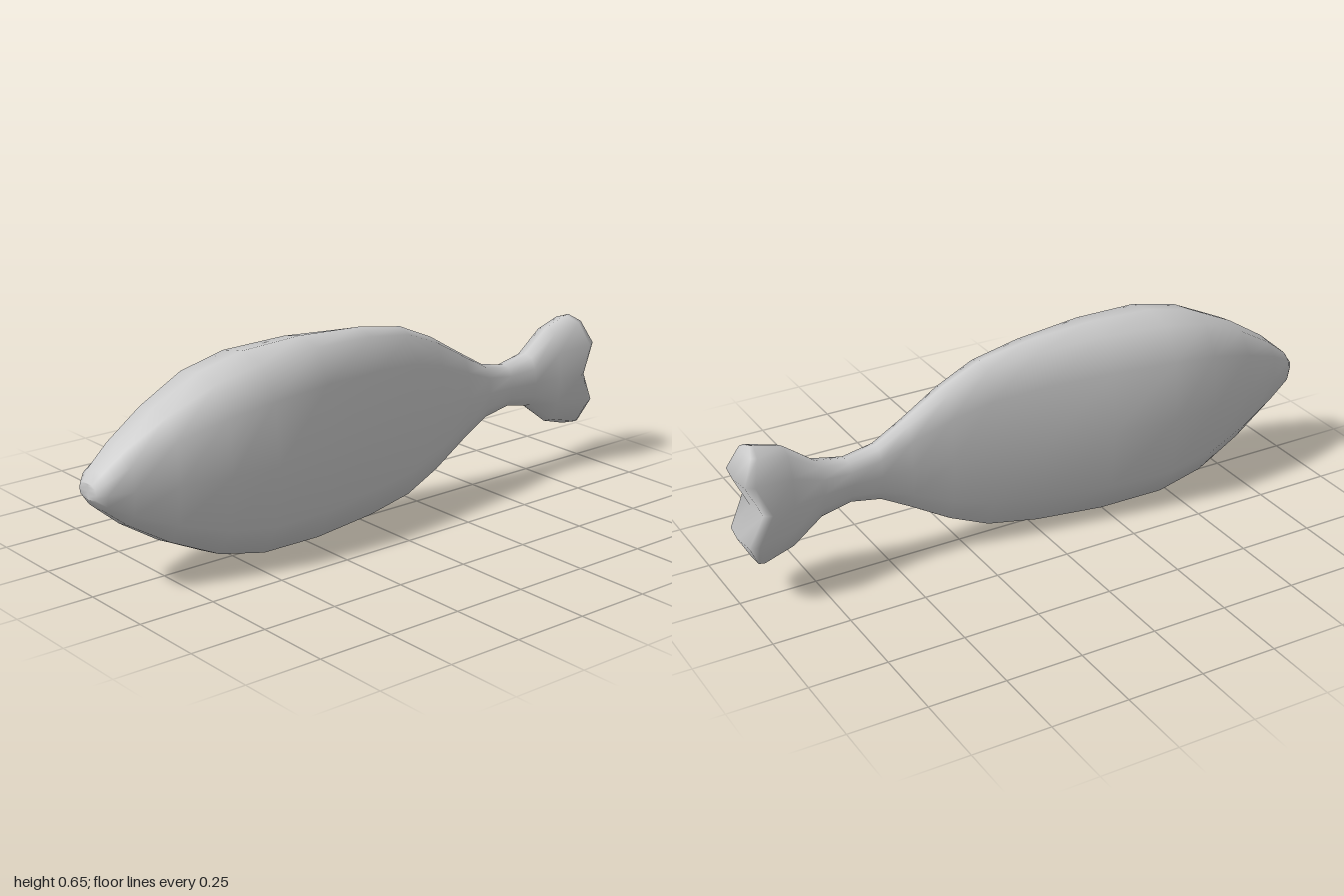
import * as THREE from 'three';
import { mergeVertices } from 'three/addons/utils/BufferGeometryUtils.js';

const MID_Y = 0.328;

// Quarter cross-sections from the ridge to the flank, as [z, y] fractions
const BODY_SECTION = [[0, 1], [0.54, 0.94], [0.9, 0.62], [1, 0]];
const TAIL_SECTION = [[0, 1], [0.56, 0.91], [0.89, 0.52], [1, 0]];

// Stations from nose to tail: [x, half height, half width]
const STATIONS = [
  [-1.0, 0.025, 0], [-1.0, 0.025, 0.045], [-0.975, 0.058, 0.07], [-0.9, 0.122, 0.092],
  [-0.77, 0.205, 0.13], [-0.61, 0.281, 0.168], [-0.45, 0.317, 0.182], [-0.23, 0.326, 0.155],
  [0.0, 0.313, 0.116], [0.17, 0.285, 0.09], [0.3, 0.228, 0.07], [0.43, 0.15, 0.051],
  [0.53, 0.092, 0.045], [0.63, 0.072, 0.046], [0.73, 0.092, 0.057], [0.83, 0.168, 0.073],
  // Forked fin end: x is given per row, ridge to flank
  [[0.92, 0.93, 0.955, 0.91], 0.194, 0.095],
  [[0.932, 0.948, 0.983, 0.935], 0.196, 0.08],
  [[0.932, 0.95, 0.992, 0.944], 0.196, 0],
];

// Full ring of 12 points, running from the top towards +z
function ring([x, halfHeight, halfWidth]) {
  const blend = THREE.MathUtils.smoothstep(Array.isArray(x) ? 1 : x, 0.3, 0.8);
  const points = [];
  for (let j = 0; j < 12; j++) {
    const row = j % 6 <= 3 ? j % 6 : 6 - (j % 6);
    const k = j < 6 ? row : (j - 6 <= 3 ? j - 6 : 12 - j);
    const sideY = j > 3 && j < 9 ? -1 : 1;
    const sideZ = j > 6 ? -1 : 1;
    const z = THREE.MathUtils.lerp(BODY_SECTION[k][0], TAIL_SECTION[k][0], blend);
    const y = THREE.MathUtils.lerp(BODY_SECTION[k][1], TAIL_SECTION[k][1], blend);
    points.push([Array.isArray(x) ? x[k] : x, MID_Y + sideY * y * halfHeight, sideZ * z * halfWidth + 0]);
  }
  return points;
}

// Skin the rings; the zero-width end rings close the nose and fin
function loft(rings) {
  const n = rings[0].length;
  const index = [];
  for (let i = 0; i < rings.length - 1; i++) {
    for (let j = 0; j < n; j++) {
      const a = i * n + j;
      const b = i * n + ((j + 1) % n);
      index.push(a, b, a + n, b, b + n, a + n);
    }
  }
  const geometry = new THREE.BufferGeometry();
  geometry.setAttribute('position', new THREE.Float32BufferAttribute(rings.flat(2), 3));
  geometry.setIndex(index);
  const merged = mergeVertices(geometry, 1e-4);
  merged.computeVertexNormals();
  return merged;
}

export function createModel() {
  const group = new THREE.Group();
  group.name = 'fish';
  const material = new THREE.MeshStandardMaterial({ color: 0xcccccc });

  // Body and tail fin are one continuous skin
  const body = new THREE.Mesh(loft(STATIONS.map(ring)), material);
  body.name = 'bodyAndTailFin';
  group.add(body);
  return group;
}
